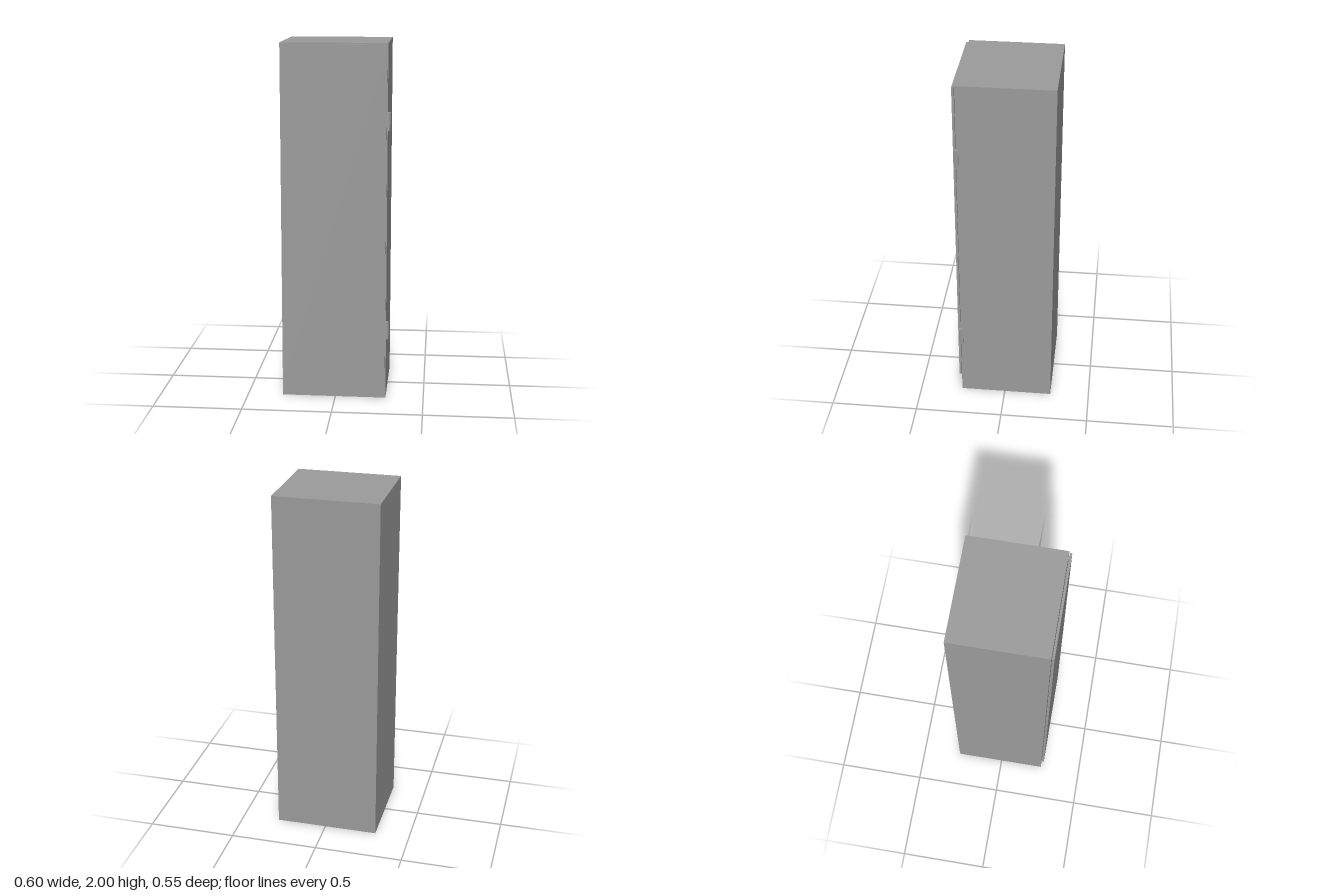
import * as THREE from 'three';

export function createModel() {
  const model = new THREE.Group();
  const material = new THREE.MeshStandardMaterial({ color: 0x9c9c9c, flatShading: true });

  function add(name, geometry, x, y, z) {
    const mesh = new THREE.Mesh(geometry, material);
    mesh.name = name;
    mesh.position.set(x, y, z);
    model.add(mesh);
  }

  // Box between two corners
  function addBox(name, [x0, y0, z0], [x1, y1, z1]) {
    add(name, new THREE.BoxGeometry(x1 - x0, y1 - y0, z1 - z0),
      (x0 + x1) / 2, (y0 + y1) / 2, (z0 + z1) / 2);
  }

  // Cabinet and the thin door, held just off its front
  addBox('cabinetBody', [-0.301, 0, -0.273], [0.286, 2, 0.256]);
  addBox('door', [-0.294, 0.108, 0.259], [0.281, 1.99, 0.272]);

  // Six-sided hinge barrels on the left front edge, one corner pointing out to +x
  const hinge = new THREE.CylinderGeometry(0.0147, 0.0147, 0.1, 6, 1, false, Math.PI / 2);
  for (const [name, y] of [['lowerHinge', 0.4], ['upperHinge', 1.58]]) {
    add(name, hinge, 0.287, y, 0.256);
  }

  return model;
}
